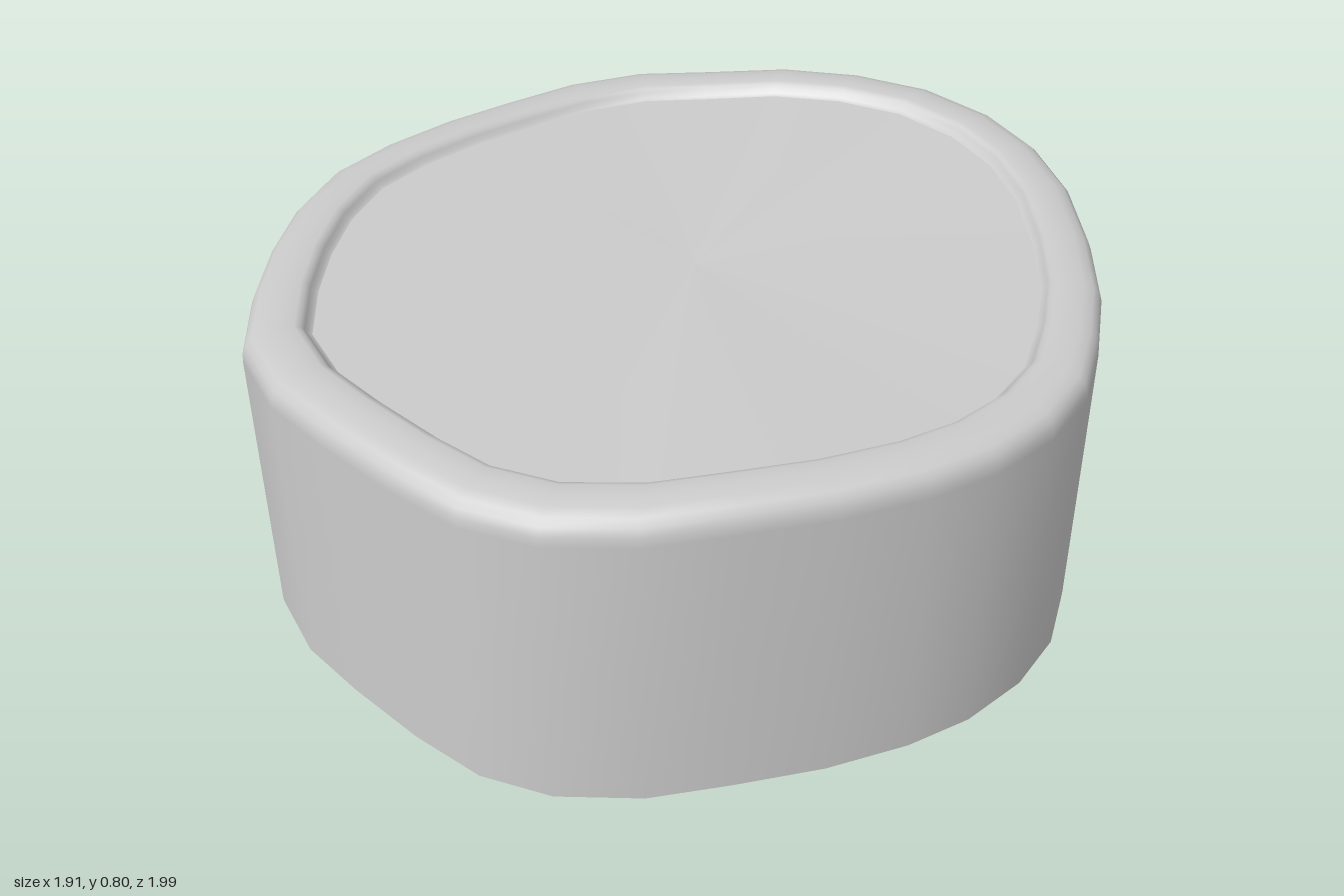
import * as THREE from 'three';

// Outline seen from above, starting at the back and passing the +x side: x, z, height wave
const OUTLINE = [
  [0, -1, .045], [.2, -.98, .043], [.37, -.91, .04], [.53, -.79, .035],
  [.68, -.62, .03], [.8, -.45, .025], [.88, -.29, .022], [.94, -.13, .02],
  [.95, .03, .02], [.92, .2, .023], [.86, .35, .028], [.76, .52, .034],
  [.635, .68, .037], [.51, .82, .033], [.35, .93, .026], [.19, .985, .029],
  [.01, .99, .034], [-.2, .97, .031], [-.38, .94, .025], [-.56, .86, .019],
  [-.7, .71, .015], [-.81, .56, .013], [-.9, .4, .012], [-.96, .22, .01],
  [-.96, .04, .008], [-.93, -.15, .005], [-.88, -.33, .002], [-.82, -.51, 0],
  [-.71, -.67, .003], [-.56, -.78, .011], [-.39, -.9, .024], [-.2, -.97, .037],
];

// Lofts the outline through a profile of [scale, height] rings
function loft(profile) {
  const n = OUTLINE.length, positions = [], index = [];
  profile.forEach(([s, y]) => {
    for (const [x, z, h] of OUTLINE) positions.push(x * s, y + (s > 0 ? h : .02), z * s);
  });
  for (let j = 0; j < profile.length - 1; j++) {
    for (let i = 0; i < n; i++) {
      const a = j * n + i, b = j * n + (i + 1) % n;
      index.push(a, a + n, b);
      if (profile[j + 1][0] > 0) index.push(b, a + n, b + n);
    }
  }
  const geometry = new THREE.BufferGeometry();
  geometry.setAttribute('position', new THREE.Float32BufferAttribute(positions, 3));
  geometry.setIndex(index);
  geometry.computeVertexNormals();
  return geometry;
}

export function createModel() {
  const group = new THREE.Group();
  group.name = 'wavyDrum';
  const material = new THREE.MeshStandardMaterial({ color: 0xcccccc, side: THREE.DoubleSide });
  const add = (name, profile) => {
    const mesh = new THREE.Mesh(loft(profile), material);
    mesh.name = name;
    group.add(mesh);
  };

  // Open-bottomed side wall, rounded over into the raised rim and its inner lip
  add('wallAndRim', [
    [1, 0], [1, .35], [1, .69], [.998, .712], [.99, .731], [.975, .745], [.95, .753],
    [.915, .757], [.885, .756], [.873, .752], [.865, .743], [.859, .732], [.85, .727],
  ]);

  // Slightly sunken top panel
  add('topPanel', [[.85, .727], [0, .727]]);

  return group;
}
